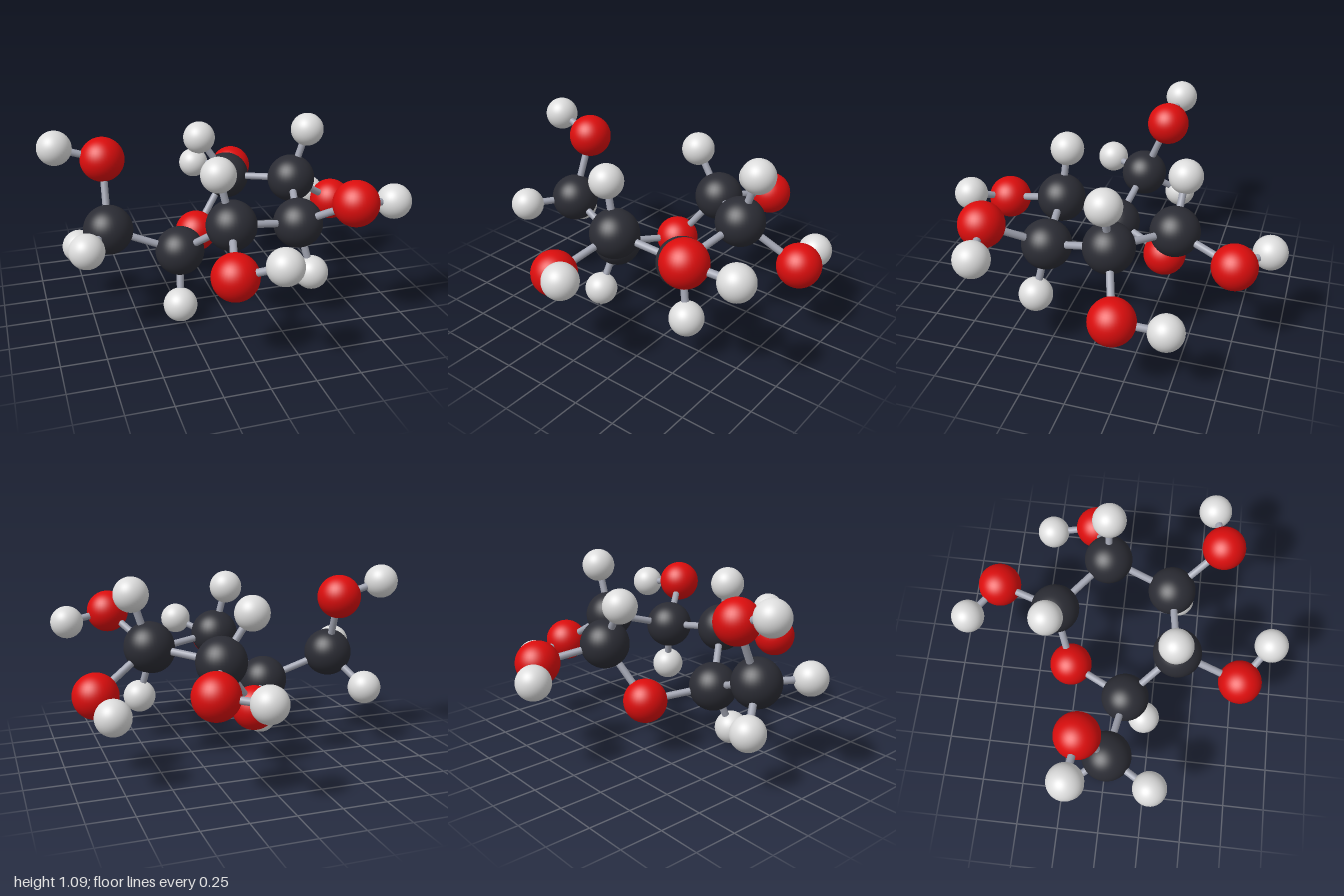
import * as THREE from 'three';

const carbonMat = new THREE.MeshStandardMaterial({ color: 0x2b2c34 });
carbonMat.name = 'charcoal';
const oxygenMat = new THREE.MeshStandardMaterial({ color: 0xdb0d0d });
oxygenMat.name = 'red';
const hydrogenMat = new THREE.MeshStandardMaterial({ color: 0xdcdcdc });
hydrogenMat.name = 'pale grey';
const bondMat = new THREE.MeshStandardMaterial({ color: 0xa0a3b0 });
bondMat.name = 'steel grey';

const ball = (r) => new THREE.SphereGeometry(r, 40, 28);
const kinds = {
  C: { name: 'carbon', geo: ball(0.142), mat: carbonMat },
  O: { name: 'oxygen', geo: ball(0.127), mat: oxygenMat },
  H: { name: 'hydrogen', geo: ball(0.098), mat: hydrogenMat },
};

// Atom centres; the first letter gives the kind
const atoms = {
  // ring
  C1: [0.184, 0.648, -0.378],
  C2: [0.513, 0.695, -0.098],
  C3: [0.405, 0.577, 0.298],
  C4: [-0.012, 0.64, 0.36],
  C5: [-0.236, 0.39, 0.083],
  O5: [-0.044, 0.336, -0.271],
  // side arm
  C6: [-0.636, 0.546, 0.018],
  O6: [-0.626, 0.916, -0.134],
  HO6: [-0.886, 0.998, -0.158],
  H6a: [-0.783, 0.364, -0.195],
  H6b: [-0.794, 0.55, 0.277],
  // branches off the ring
  O1: [0.331, 0.576, -0.739],
  HO1: [0.113, 0.562, -0.902],
  H1: [0.015, 0.907, -0.392],
  O2: [0.838, 0.476, -0.212],
  HO2: [0.797, 0.436, -0.484],
  H2: [0.608, 0.993, -0.102],
  O3: [0.618, 0.779, 0.574],
  HO3: [0.88, 0.738, 0.511],
  H3: [0.479, 0.277, 0.35],
  O4: [-0.112, 0.53, 0.742],
  HO4: [0.093, 0.636, 0.9],
  H4: [-0.081, 0.931, 0.339],
  H5: [-0.269, 0.105, 0.206],
};

// Pairs of joined atoms
const bonds = [
  ['C1', 'C2'], ['C2', 'C3'], ['C3', 'C4'], ['C4', 'C5'], ['C5', 'O5'], ['O5', 'C1'],
  ['C5', 'C6'], ['C6', 'O6'], ['O6', 'HO6'], ['C6', 'H6a'], ['C6', 'H6b'], ['C5', 'H5'],
];
// Each of these ring carbons carries a hydrogen and an oxygen-hydrogen branch
for (const n of [1, 2, 3, 4]) {
  bonds.push([`C${n}`, `O${n}`], [`O${n}`, `HO${n}`], [`C${n}`, `H${n}`]);
}

// Cylinder running between two points
function rod(a, b) {
  const dir = b.clone().sub(a);
  const mesh = new THREE.Mesh(new THREE.CylinderGeometry(0.021, 0.021, dir.length(), 16, 1, true), bondMat);
  mesh.position.copy(a).add(b).multiplyScalar(0.5);
  mesh.quaternion.setFromUnitVectors(new THREE.Vector3(0, 1, 0), dir.normalize());
  return mesh;
}

export function createModel() {
  const model = new THREE.Group();
  model.name = 'sugarMolecule';
  const atomGroup = new THREE.Group();
  atomGroup.name = 'atoms';
  const bondGroup = new THREE.Group();
  bondGroup.name = 'bonds';
  model.add(atomGroup, bondGroup);

  for (const [key, p] of Object.entries(atoms)) {
    const kind = kinds[key[0]];
    const mesh = new THREE.Mesh(kind.geo, kind.mat);
    mesh.name = `${kind.name} ${key}`;
    mesh.position.set(...p);
    atomGroup.add(mesh);
  }

  for (const [from, to] of bonds) {
    const mesh = rod(new THREE.Vector3(...atoms[from]), new THREE.Vector3(...atoms[to]));
    mesh.name = `bond ${from} to ${to}`;
    bondGroup.add(mesh);
  }
  return model;
}
